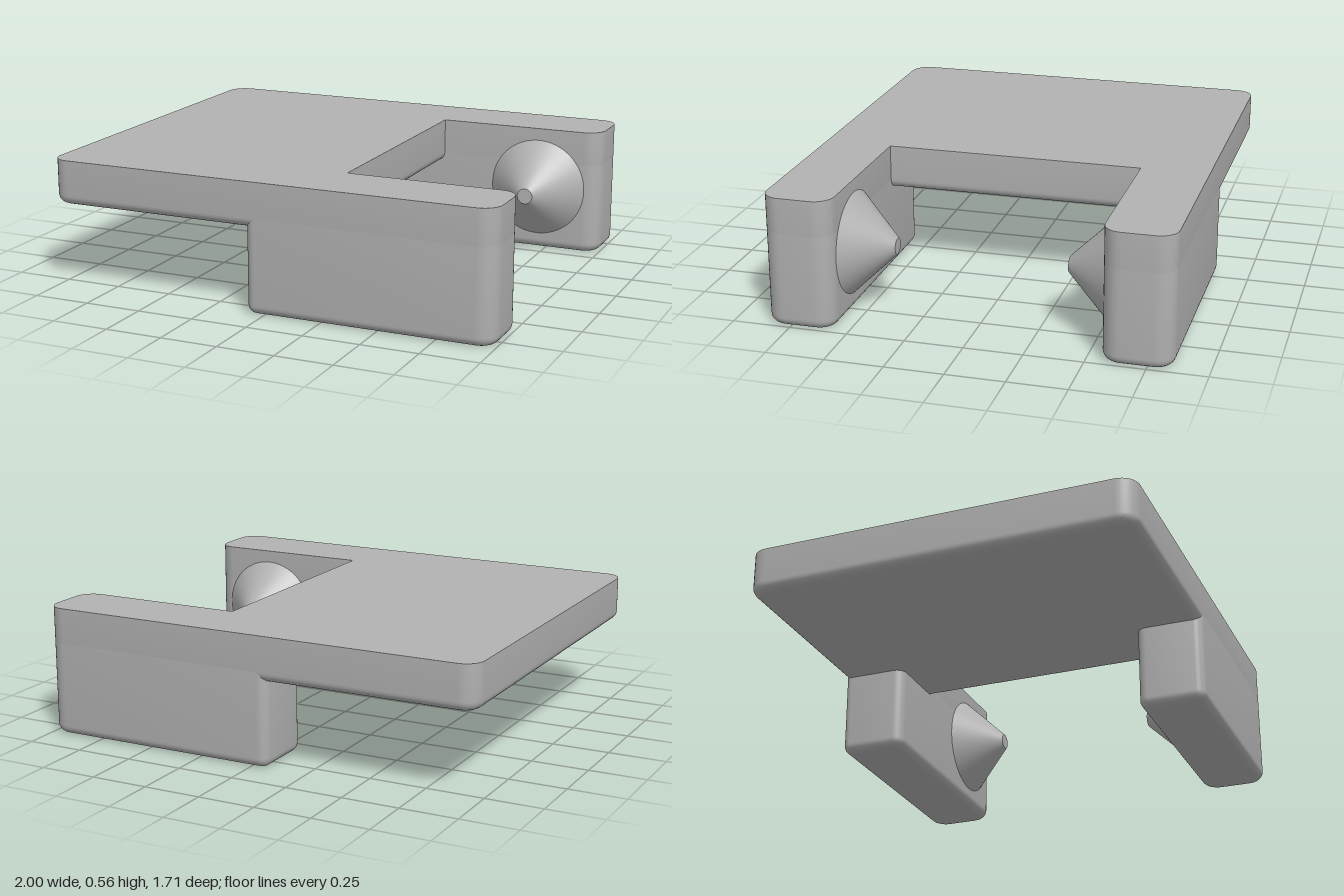
import * as THREE from 'three';
import { toCreasedNormals } from 'three/addons/utils/BufferGeometryUtils.js';

const TOP = 0.565, UNDER = 0.37, FILLET = 0.04;
const OUT = 0.855, IN = 0.56; // outer and inner faces of the arms

// Outline in (x, -z), counterclockwise, from [x, v, radius] corners, moved inward by inset
function outline(corners, inset) {
  const points = [];
  const n = corners.length;
  const leftNormal = (a, b) => {
    const d = new THREE.Vector2(b[0] - a[0], b[1] - a[1]).normalize();
    return new THREE.Vector2(-d.y, d.x);
  };
  corners.forEach((c, i) => {
    const n1 = leftNormal(corners[(i + n - 1) % n], c);
    const n2 = leftNormal(c, corners[(i + 1) % n]);
    const r = c[2];
    const reach = r || inset;
    const centre = new THREE.Vector2(c[0] + reach * (n1.x + n2.x), c[1] + reach * (n1.y + n2.y));
    if (!r) { points.push(centre); return; }
    for (let k = 0; k <= 8; k++) {
      const t = (k / 8) * Math.PI / 2;
      points.push(centre.clone()
        .addScaledVector(n1, -(r - inset) * Math.cos(t))
        .addScaledVector(n2, -(r - inset) * Math.sin(t)));
    }
  });
  return points;
}

// Upright block with a rounded lower edge and a sharp upper edge
function filletedBlock(corners, y0, y1, topCap) {
  const rows = [];
  for (let j = 0; j <= 6; j++) {
    const t = (j / 6) * Math.PI / 2;
    rows.push({ inset: FILLET * (1 - Math.sin(t)), y: y0 + FILLET * (1 - Math.cos(t)) });
  }
  rows.push({ inset: 0, y: y1 });
  const rings = rows.map(row => outline(corners, row.inset));
  const count = rings[0].length;
  const positions = rings.flatMap((ring, j) => ring.flatMap(p => [p.x, rows[j].y, -p.y]));
  const index = [];
  for (let j = 0; j < rings.length - 1; j++) {
    for (let i = 0; i < count; i++) {
      const a = j * count + i, b = j * count + (i + 1) % count;
      index.push(a, b, b + count, a, b + count, a + count);
    }
  }
  // Bottom and top faces
  for (const [a, b, c] of THREE.ShapeUtils.triangulateShape(rings[0].slice(), [])) index.push(a, c, b);
  if (topCap) {
    const last = (rings.length - 1) * count;
    for (const [a, b, c] of THREE.ShapeUtils.triangulateShape(rings[rings.length - 1].slice(), [])) {
      index.push(last + a, last + b, last + c);
    }
  }
  const geometry = new THREE.BufferGeometry();
  geometry.setAttribute('position', new THREE.Float32BufferAttribute(positions, 3));
  geometry.setIndex(index);
  return toCreasedNormals(geometry, 0.5);
}

export function createModel() {
  const model = new THREE.Group();
  const grey = new THREE.MeshStandardMaterial({ color: 0xb2b2b2 });
  grey.name = 'grey';
  const add = (name, geometry) => {
    const mesh = new THREE.Mesh(geometry, grey);
    mesh.name = name;
    model.add(mesh);
    return mesh;
  };

  // Notched top plate
  add('plate', filletedBlock([
    [-1, -OUT, 0.08], [1, -OUT, 0.08], [1, -IN, 0.08], [0.25, -IN, 0],
    [0.25, IN, 0], [1, IN, 0.08], [1, OUT, 0.08], [-1, OUT, 0.08],
  ], UNDER, TOP, true));

  for (const side of [1, -1]) {
    const label = side > 0 ? 'front' : 'back';

    // Arm hanging below the plate, open where it meets it
    const low = side > 0 ? -OUT : IN, high = side > 0 ? -IN : OUT;
    add(label + 'Arm', filletedBlock([
      [-0.08, low, 0.045], [1, low, 0.08], [1, high, 0.08], [-0.08, high, 0.045],
    ], 0, UNDER + FILLET, false));

    // Blunt cone pointing inward from the arm
    const peg = add(label + 'Cone', new THREE.CylinderGeometry(0.035, 0.22, 0.19, 64));
    peg.rotation.x = -side * Math.PI / 2;
    peg.position.set(0.71, 0.29, side * (IN - 0.095));
  }
  return model;
}
